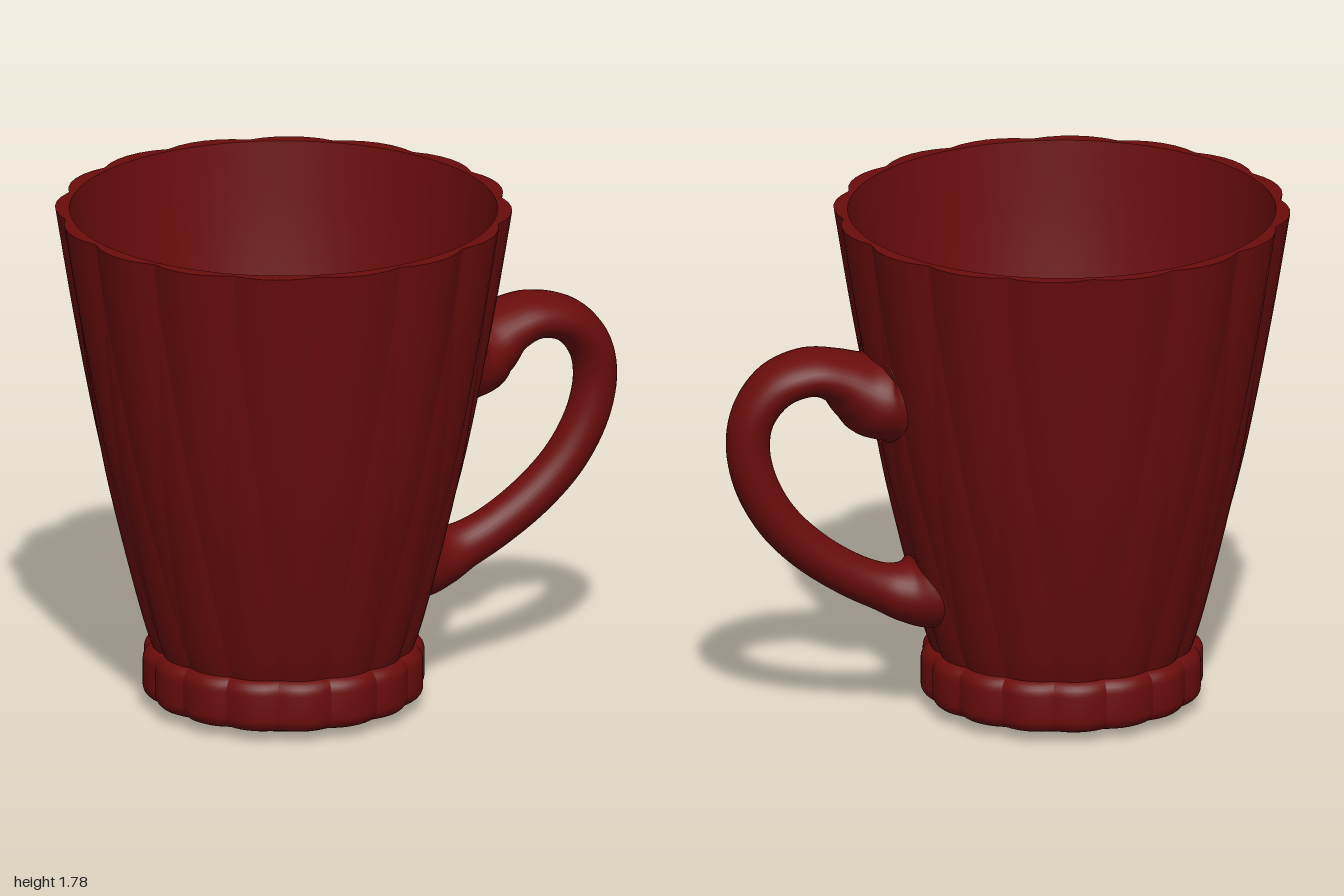
import * as THREE from 'three';
import { toCreasedNormals } from 'three/addons/utils/BufferGeometryUtils.js';

const LOBES = 16, SEG = 6, HALF = Math.PI / LOBES;
const material = new THREE.MeshStandardMaterial({ color: 0x6a0c0c });

// Skin a list of closed rings (each an array of Vector3)
function loft(rings, crease) {
  const n = rings[0].length, pos = [], idx = [];
  rings.forEach((ring) => ring.forEach((p) => pos.push(p.x, p.y, p.z)));
  for (let j = 0; j < rings.length - 1; j++) {
    for (let i = 0; i < n; i++) {
      const k = (i + 1) % n, a = j * n, b = a + n;
      idx.push(a + i, a + k, b + k, a + i, b + k, b + i);
    }
  }
  const g = new THREE.BufferGeometry();
  g.setAttribute('position', new THREE.Float32BufferAttribute(pos, 3));
  g.setIndex(idx);
  return toCreasedNormals(g, crease);
}

function part(name, geometry) {
  const mesh = new THREE.Mesh(geometry, material);
  mesh.name = name;
  return mesh;
}

const polar = (r, a, y) => new THREE.Vector3(r * Math.cos(a), y, -r * Math.sin(a));

// Piecewise smooth curve through [radius, height] pairs
const profile = (pts) => new THREE.SplineCurve(pts.map(([r, y]) => new THREE.Vector2(r, y)));

// One fluted ring: long flutes narrow downward to a point, and the
// wedges between them widen by the same amount
function flutedRing(r, y) {
  const t = THREE.MathUtils.clamp((y - 0.24) / 1.36, 0.02, 0.98);
  const c = 0.036 * r, valley = r - c * t * t, ring = [];
  for (let k = 0; k < LOBES; k++) {
    [[0, t], [1, 1 - t]].forEach(([offset, w]) => {
      for (let s = 0; s < SEG; s++) {
        const d = w * (2 * s / SEG - 1);
        ring.push(polar(valley + c * (w * w - d * d), (2 * k + offset + d) * HALF, y));
      }
    });
  }
  return ring;
}

// Cup: fluted outside, flat rim, plain round inside
function cupGeometry() {
  const outer = profile([[0.428, 0.19], [0.475, 0.33], [0.56, 0.64], [0.635, 0.945],
    [0.722, 1.4], [0.785, 1.78]]);
  const inner = profile([[0.735, 1.78], [0.685, 1.4], [0.6, 0.945], [0.52, 0.64],
    [0.42, 0.33], [0.385, 0.24], [0.32, 0.2], [0.2, 0.19], [0.001, 0.19]]);
  const rings = outer.getPoints(36).map((p) => flutedRing(p.x, p.y));
  const angles = rings[rings.length - 1].map((p) => Math.atan2(-p.z, p.x));
  inner.getPoints(32).forEach((p) => rings.push(angles.map((a) => polar(p.x, a, p.y))));
  return loft(rings, 0.22);
}

// Base band: rounded section with shallow scallops
function bandGeometry() {
  const section = [[0.34, 0.035], [0.43, 0.035]];
  const corner = (cy, start) => {
    for (let i = 0; i <= 6; i++) {
      const a = start + i * Math.PI / 12;
      section.push([0.43 + 0.048 * Math.cos(a), cy + 0.048 * Math.sin(a)]);
    }
  };
  corner(0.083, -Math.PI / 2);
  corner(0.172, 0);
  section.push([0.4, 0.22]);
  const rings = section.map(([r, y]) => {
    const ring = [];
    for (let i = 0; i < LOBES * 8; i++) {
      const d = (i % 8) / 4 - 1;
      ring.push(polar(r - 0.008 + 0.018 * (1 - d * d), i * HALF / 4, y));
    }
    return ring;
  });
  return loft(rings, 0.35);
}

// Foot: bevelled outside with a dished underside
function footGeometry() {
  const section = [[0.001, 0.08], [0.2, 0.08], [0.25, 0.07], [0.28, 0.05], [0.295, 0.025],
    [0.3, 0], [0.335, 0], [0.368, 0.032], [0.368, 0.06]];
  return loft(section.map(([r, y]) =>
    Array.from({ length: 64 }, (_, i) => polar(r, i * Math.PI / 32, y))), 0.6);
}

// Handle: oval sweep flaring out where it meets the cup
function handleGeometry() {
  // x, y, half thickness, half width
  const stations = [
    [0.455, 1.2, 0.18, 0.235], [0.485, 1.2, 0.155, 0.215], [0.53, 1.222, 0.125, 0.18],
    [0.6, 1.265, 0.093, 0.152], [0.7, 1.292, 0.079, 0.135], [0.82, 1.26, 0.076, 0.115],
    [0.9, 1.17, 0.075, 0.094], [0.925, 1.06, 0.075, 0.082], [0.9, 0.92, 0.075, 0.08],
    [0.82, 0.77, 0.075, 0.08], [0.7, 0.645, 0.075, 0.08], [0.55, 0.54, 0.076, 0.08],
    [0.44, 0.487, 0.083, 0.09], [0.36, 0.462, 0.105, 0.125], [0.31, 0.46, 0.13, 0.16],
    [0.27, 0.468, 0.145, 0.175],
  ];
  const path = new THREE.CatmullRomCurve3(stations.map(([x, y]) => new THREE.Vector3(x, y, 0)));
  const size = new THREE.SplineCurve(stations.map((s) => new THREE.Vector2(s[2], s[3])));
  const zAxis = new THREE.Vector3(0, 0, 1), rings = [], steps = 90;
  for (let j = 0; j <= steps; j++) {
    const u = j / steps, centre = path.getPoint(u), half = size.getPoint(u);
    const normal = zAxis.clone().cross(path.getTangent(u));
    // Wrap the flared ends around the round wall
    const wrap = Math.max(0, 1 - Math.min(u, 1 - u) * 6);
    const ring = [];
    for (let i = 0; i < 32; i++) {
      const a = i * Math.PI / 16;
      const p = centre.clone().addScaledVector(normal, half.x * Math.cos(a));
      p.z = half.y * Math.sin(a);
      p.x -= wrap * p.z * p.z / (u < 0.5 ? 1.35 : 1);
      ring.push(p);
    }
    rings.push(ring);
  }
  return loft(rings, 1.2);
}

export function createModel() {
  const model = new THREE.Group();
  model.name = 'mug';
  const vessel = new THREE.Group();
  vessel.name = 'vessel';
  vessel.position.x = -0.215;
  vessel.add(
    part('cup', cupGeometry()),
    part('baseBand', bandGeometry()),
    part('foot', footGeometry()),
  );
  model.add(vessel, part('handle', handleGeometry()));
  return model;
}
